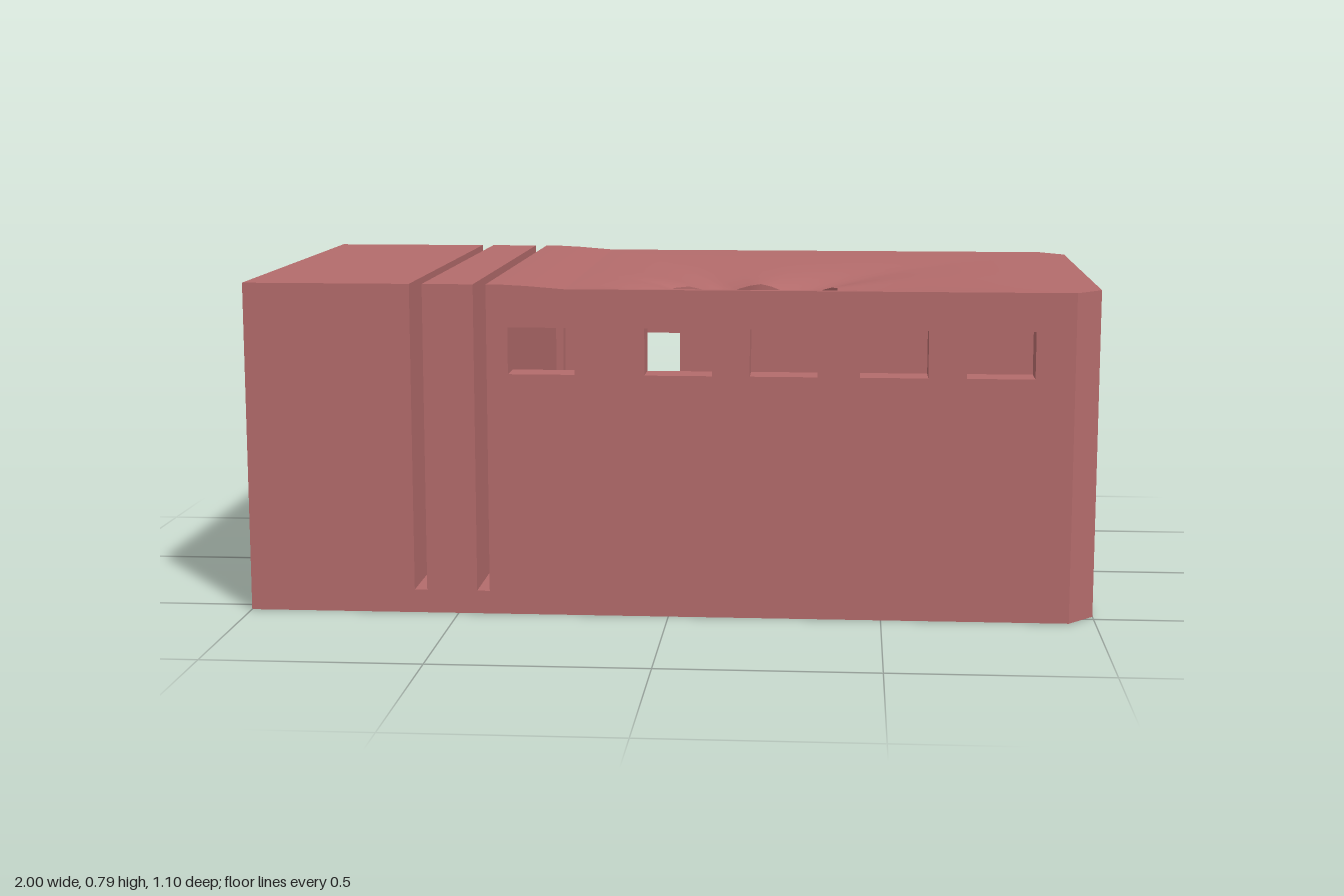
import * as THREE from 'three';
import { toCreasedNormals } from 'three/addons/utils/BufferGeometryUtils.js';

const material = new THREE.MeshStandardMaterial({ color: 0xb36b6b, side: THREE.DoubleSide });
const BACK = -0.525, FRONT = 0.545, CEILING = 0.69, FLOOR = 0.055;
const INNER_BACK = -0.445, INNER_FRONT = 0.465;
const ROOM_LEFT = -0.39, ROOM_RIGHT = 0.93, ROOF_LEFT = -0.24, ROOF_Y = 0.775;

function addMesh(group, name, geometry) {
  const mesh = new THREE.Mesh(geometry, material);
  mesh.name = name;
  group.add(mesh);
  return mesh;
}

function polygon(points) {
  return new THREE.Shape(points.map(([x, y]) => new THREE.Vector2(x, y)));
}

function rect(x0, y0, x1, y1) {
  return polygon([[x0, y0], [x1, y0], [x1, y1], [x0, y1]]);
}

// Extrude an x-y outline from z0 to z1
function slab(shape, z0, z1) {
  const geometry = new THREE.ExtrudeGeometry(shape, { depth: z1 - z0, bevelEnabled: false });
  return geometry.translate(0, 0, z0);
}

// Skin a closed sequence of closed rings
function loft(rings) {
  const n = rings[0].length;
  const positions = [], index = [];
  rings.forEach((ring, i) => ring.forEach((p, j) => {
    positions.push(...p);
    const next = ((i + 1) % rings.length) * n, k = (j + 1) % n;
    const a = i * n + j, b = i * n + k, c = next + k, d = next + j;
    index.push(a, b, c, a, c, d);
  }));
  const geometry = new THREE.BufferGeometry();
  geometry.setAttribute('position', new THREE.Float32BufferAttribute(positions, 3));
  geometry.setIndex(index);
  return toCreasedNormals(geometry, 0.5);
}

// Rectangular frame from sections [x0, y0, x1, y1, z], outside to inside
function frame(sections) {
  return loft(sections.map(([x0, y0, x1, y1, z]) =>
    [[x0, y0, z], [x1, y0, z], [x1, y1, z], [x0, y1, z]]));
}

// Roof panel with a jagged, dented-in hole
function tornRoof() {
  const cx = 0.2, cz = 0.3;
  const hole = [[-0.05, 0.47], [0.03, 0.33], [-0.01, 0.26], [0.12, 0.14], [0.2, 0.17],
    [0.34, 0.17], [0.39, 0.25], [0.39, 0.33], [0.45, 0.47], [0.41, 0.452],
    [0.34, 0.46], [0.2, 0.425], [0.1, 0.45], [0, 0.453]];
  const corners = [[ROOF_LEFT, BACK], [ROOM_RIGHT, BACK], [ROOM_RIGHT, FRONT], [ROOF_LEFT, FRONT]];
  const angles = [...hole, ...corners].map(([x, z]) => Math.atan2(z - cz, x - cx));
  for (let i = 0; i < 32; i++) angles.push(-Math.PI + 0.01 + (i * Math.PI) / 16);
  angles.sort((a, b) => a - b);

  // Distance from the centre to an outline along a ray
  const reach = (outline, angle) => {
    const dx = Math.cos(angle), dz = Math.sin(angle);
    let best = 0;
    outline.forEach(([ax, az], i) => {
      const [bx, bz] = outline[(i + 1) % outline.length];
      const ex = bx - ax, ez = bz - az, det = dx * ez - dz * ex;
      if (Math.abs(det) < 1e-9) return;
      const r = ((ax - cx) * ez - (az - cz) * ex) / det;
      const s = ((ax - cx) * dz - (az - cz) * dx) / det;
      if (r > 0 && s > -1e-6 && s < 1 + 1e-6) best = Math.max(best, r);
    });
    return best;
  };
  const ring = (t, height) => angles.map((angle) => {
    const inner = reach(hole, angle), outer = reach(corners, angle);
    const r = inner + (outer - inner) * t;
    return [cx + r * Math.cos(angle), height(angle, t), cz + r * Math.sin(angle)];
  });
  const top = (angle, t) =>
    ROOF_Y - (0.035 + 0.012 * Math.sin(angle * 5)) * Math.pow(1 - t, 3);
  const under = () => CEILING;
  return loft([...[0, 0.06, 0.14, 0.25, 0.4, 0.6, 0.8, 1].map((t) => ring(t, top)),
    ring(1, under), ring(0, under)]);
}

export function createModel() {
  const group = new THREE.Group();
  group.name = 'bunkerModule';

  // Solid end blocks separated by two deep slots
  const tall = 0.785;
  addMesh(group, 'slottedEndBlock', slab(polygon([
    [-1, 0], [ROOM_LEFT, 0], [ROOM_LEFT, tall], [-0.425, tall], [-0.425, FLOOR],
    [-0.455, FLOOR], [-0.455, tall], [-0.575, tall], [-0.575, FLOOR],
    [-0.605, FLOOR], [-0.605, tall], [-1, tall],
  ]), BACK, FRONT));

  // Floor of the open room
  addMesh(group, 'floor', slab(rect(ROOM_LEFT, 0, ROOM_RIGHT, FLOOR), BACK, FRONT));

  // Front wall with a row of windows
  const frontWall = rect(ROOM_LEFT, FLOOR, ROOM_RIGHT, CEILING);
  for (const x of [-0.375, -0.055, 0.19, 0.445, 0.69]) {
    frontWall.holes.push(rect(x, 0.575, x + 0.157, 0.685));
  }
  addMesh(group, 'frontWall', slab(frontWall, INNER_FRONT, FRONT));

  // Back wall with a doorway
  const backWall = rect(ROOM_LEFT, FLOOR, ROOM_RIGHT, CEILING);
  backWall.holes.push(rect(-0.37, 0.06, -0.025, 0.575));
  addMesh(group, 'backWall', slab(backWall, BACK, INNER_BACK));

  // Chamfered door surround with a stepped reveal
  const door = addMesh(group, 'doorFrame', frame([
    [-0.18, -0.262, 0.18, 0.262, 0.49],
    [-0.18, -0.262, 0.18, 0.262, 0.538],
    [-0.168, -0.25, 0.168, 0.25, 0.55],
    [-0.16, -0.24, 0.16, 0.24, 0.55],
    [-0.16, -0.24, 0.16, 0.24, 0.525],
    [-0.148, -0.228, 0.148, 0.228, 0.525],
    [-0.148, -0.228, 0.148, 0.228, 0.49],
  ]));
  door.rotation.y = Math.PI;
  door.position.set(-0.197, 0.319, 0);

  // Roof, with a short slope up to the slotted blocks
  addMesh(group, 'roofSlope', slab(polygon([
    [ROOM_LEFT, CEILING], [ROOF_LEFT, CEILING], [ROOF_LEFT, ROOF_Y],
    [-0.33, 0.782], [ROOM_LEFT, tall],
  ]), BACK, FRONT));
  addMesh(group, 'tornRoof', tornRoof());

  // Open end: chamfered corners and an inward-tapering mouth
  const mouth = addMesh(group, 'openEndFrame', frame([
    [-FRONT, 0, -BACK, ROOF_Y, ROOM_RIGHT],
    [-FRONT, 0, -BACK, ROOF_Y, 0.938],
    [-0.475, 0, 0.455, ROOF_Y, 1],
    [-0.475, 0.055, 0.455, 0.685, 1],
    [-0.45, 0.07, 0.43, 0.67, 0.96],
    [-0.45, 0.07, 0.43, 0.67, ROOM_RIGHT],
  ]));
  mouth.rotation.y = Math.PI / 2;

  return group;
}
